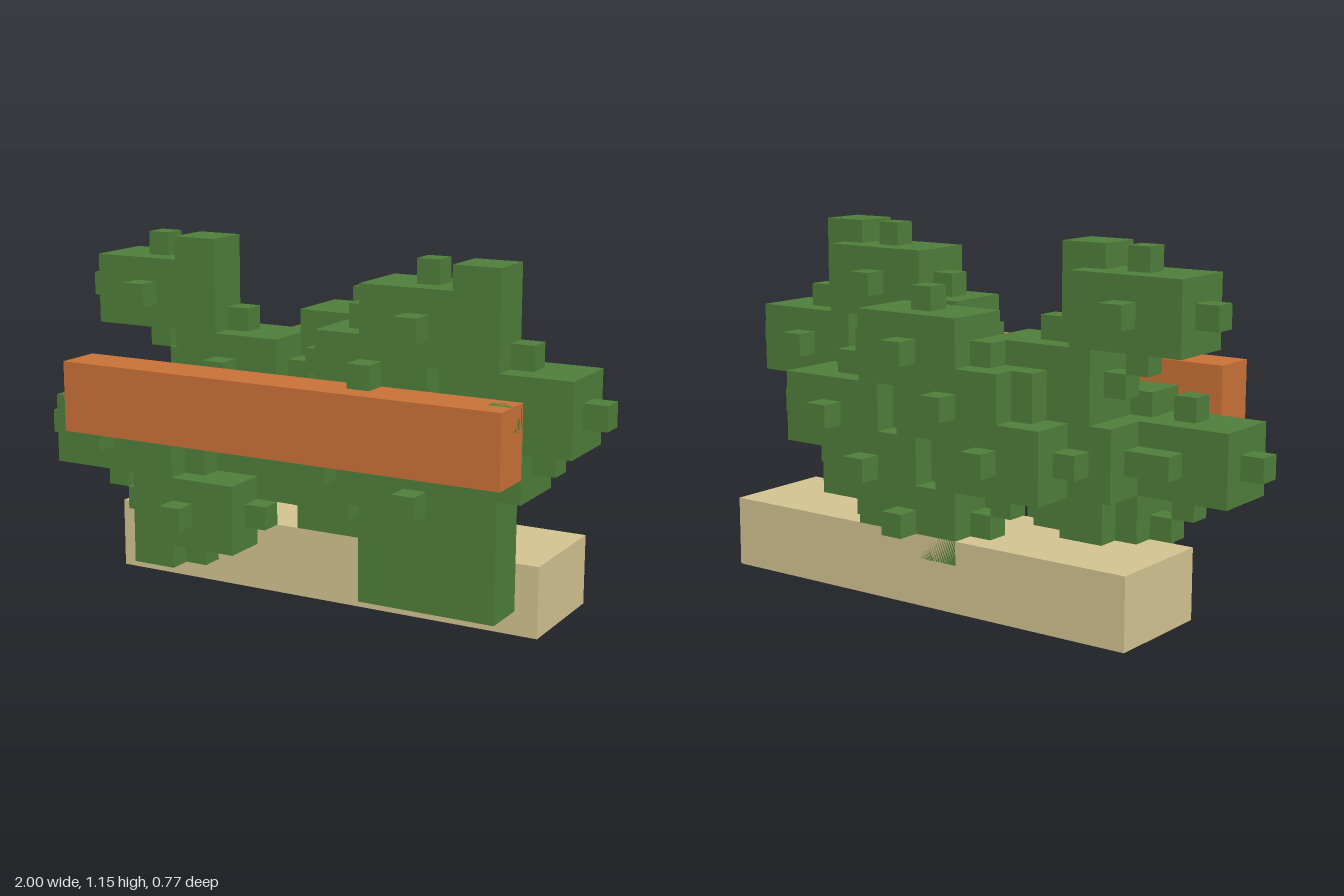
import * as THREE from 'three';

const U = 1 / 13; // block unit

export function createModel() {
  const model = new THREE.Group();
  const green = new THREE.MeshStandardMaterial({ color: 0x4e7d3a });
  const orange = new THREE.MeshStandardMaterial({ color: 0xc87137 });
  const tan = new THREE.MeshStandardMaterial({ color: 0xd2c290 });

  // Box given by its minimum and maximum corners, in block units
  function box(name, material, [x0, y0, z0], [x1, y1, z1], parent = model) {
    const geometry = new THREE.BoxGeometry((x1 - x0) * U, (y1 - y0) * U, (z1 - z0) * U);
    const mesh = new THREE.Mesh(geometry, material);
    mesh.position.set((x0 + x1) / 2 * U, (y0 + y1) / 2 * U, (z0 + z1) / 2 * U);
    mesh.name = name;
    parent.add(mesh);
    return mesh;
  }

  // Leaf clump: a 5 x 3 x 3 block with a bud in the middle of every side
  function clump(x, y, z) {
    const group = new THREE.Group();
    group.name = 'leafClump';
    const centred = (name, w, h, d) => box(name, green,
      [x - w / 2, y - h / 2, z - d / 2], [x + w / 2, y + h / 2, z + d / 2], group);
    centred('leafBlock', 5, 3, 3);
    centred('sideBuds', 7, 1, 1);
    centred('topAndBottomBuds', 1, 5, 1);
    centred('frontAndBackBuds', 1, 1, 5);
    model.add(group);
  }

  // Planter base and front rail
  box('base', tan, [-10, 0, -4], [10, 3, 1]);
  box('rail', orange, [-10, 7, 3], [10, 10, 5]);

  // Stems
  box('frontLeftStem', green, [7, 1, 1], [9, 15, 3]);
  box('frontWideStem', green, [3, 1, 1], [9, 9, 3]);
  box('frontRightStem', green, [-8, 1, 1], [-6, 9, 3]);
  box('middleRightStem', green, [-7, 3, -1], [-5, 15, 1]);
  box('middleStem', green, [-1, 3, -1], [3, 9, 1]);
  box('backRightStem', green, [-2, 3, -3], [0, 10, -1]);
  box('backLeftStem', green, [1, 3, -3], [4, 10, -1]);

  // Leaf clumps in three layers, by centre (x, y)
  const layers = [
    [1.5, [[5.5, 12.5], [9.5, 9.5], [7.5, 7.5], [5.5, 5.5], [3.5, 10.5], [1.5, 6.5], [-9.5, 6.5], [-5.5, 3.5]]],
    [-0.5, [[-8.5, 12.5], [-4.5, 9.5], [-5.5, 6.5], [-0.5, 5.5]]],
    [-2.5, [[0.5, 10.5], [4.5, 7.5], [-1.5, 8.5], [2.5, 5.5], [-3.5, 6.5], [0.5, 3.5]]],
  ];
  for (const [z, centres] of layers) {
    for (const [x, y] of centres) clump(x, y, z);
  }
  return model;
}
